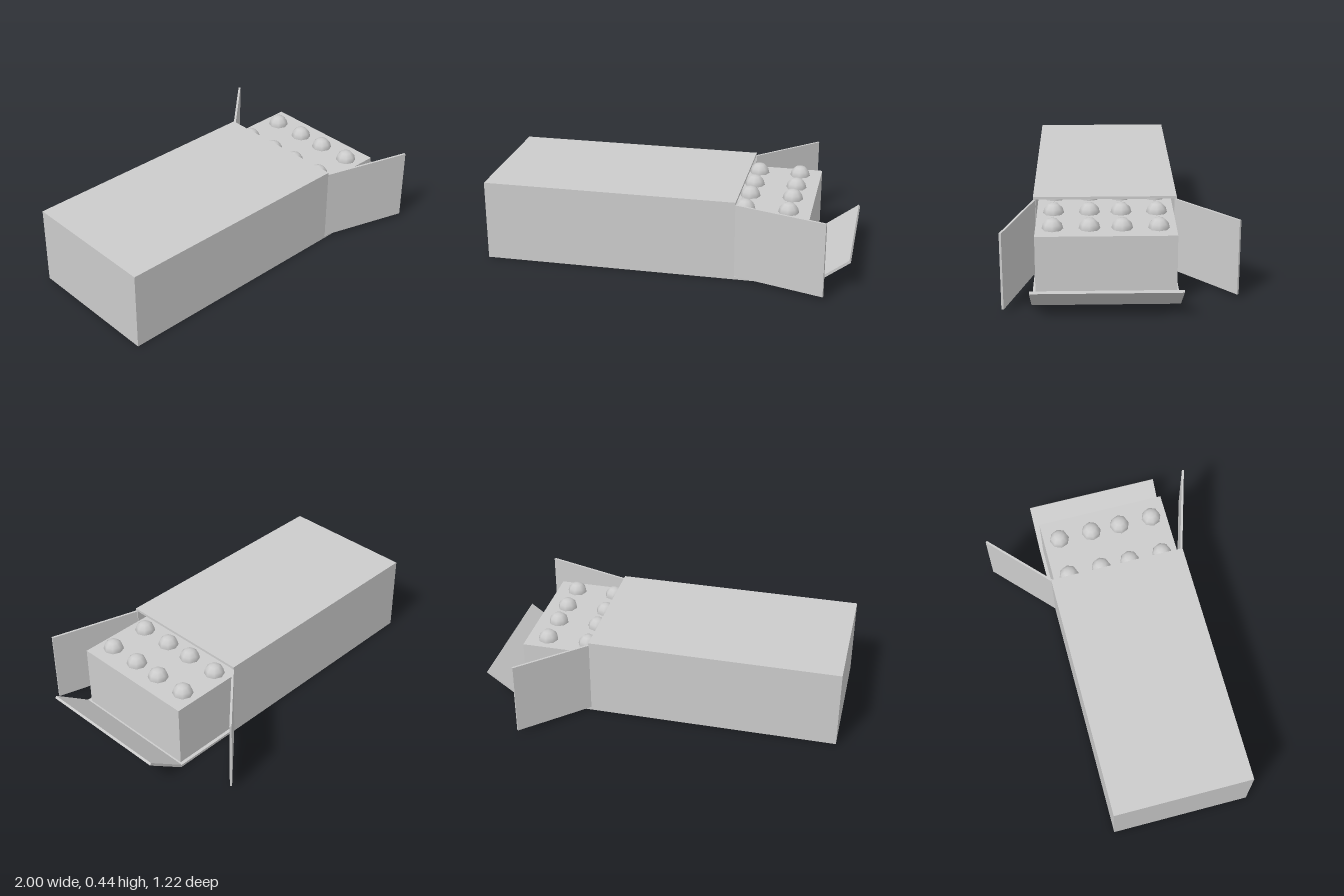
import * as THREE from 'three';

const X0 = -1, MOUTH = 0.385, Z0 = -0.307, Z1 = 0.46, TOP = 0.445, T = 0.014;

export function createModel() {
  const group = new THREE.Group();
  const material = new THREE.MeshStandardMaterial({ color: 0xcccccc });

  function add(name, geometry) {
    const mesh = new THREE.Mesh(geometry, material);
    mesh.name = name;
    group.add(mesh);
    return mesh;
  }

  // Box given by its two opposite corners
  function block(name, [ax, ay, az], [bx, by, bz]) {
    add(name, new THREE.BoxGeometry(bx - ax, by - ay, bz - az))
      .position.set((ax + bx) / 2, (ay + by) / 2, (az + bz) / 2);
  }

  // Carton sleeve, open at the +x end
  block('topPanel', [X0, TOP - T, Z0], [MOUTH, TOP, Z1]);
  block('backPanel', [X0, T, Z0], [MOUTH, TOP - T, Z0 + T]);
  block('frontPanel', [X0, T, Z1 - T], [MOUTH, TOP - T, Z1]);
  block('closedEnd', [X0, T, Z0 + T], [X0 + T, TOP - T, Z1 - T]);

  // Floor that runs past the mouth and bends up into the end flap
  const floor = new THREE.Shape([
    [X0, 0], [0.785, 0], [0.998, 0.158], [0.99, 0.17], [0.78, T], [X0, T],
  ].map(([x, y]) => new THREE.Vector2(x, y)));
  add('floorAndEndFlap', new THREE.ExtrudeGeometry(floor, { depth: Z1 - Z0, bevelEnabled: false }))
    .position.z = Z0;

  // Side flaps hinged at the mouth and swung outwards
  function sideFlap(name, hingeZ, tipX, tipZ) {
    const dx = tipX - MOUTH, dz = tipZ - hingeZ;
    const geometry = new THREE.BoxGeometry(Math.hypot(dx, dz), 0.412, 0.012);
    const flap = add(name, geometry);
    flap.position.set(MOUTH + dx / 2, 0.224, hingeZ + dz / 2);
    flap.rotation.y = -Math.atan2(dz, dx);
  }
  sideFlap('frontFlap', Z1 - 0.006, 0.872, 0.602);
  sideFlap('backFlap', Z0 + 0.006, 0.716, -0.608);

  // Inner tray, sliding partly out of the sleeve
  const trayTop = 0.37;
  block('tray', [-0.95, T, -0.288], [0.77, trayTop, 0.439]);

  // Rows of domes on the tray
  const dome = new THREE.SphereGeometry(0.056, 8, 3, 0, Math.PI * 2, 0, Math.PI / 2);
  for (let row = 0; row < 7; row++) {
    for (const z of [-0.197, -0.008, 0.16, 0.35]) {
      add('dome', dome).position.set(0.652 - row * 0.232, trayTop, z);
    }
  }
  return group;
}
